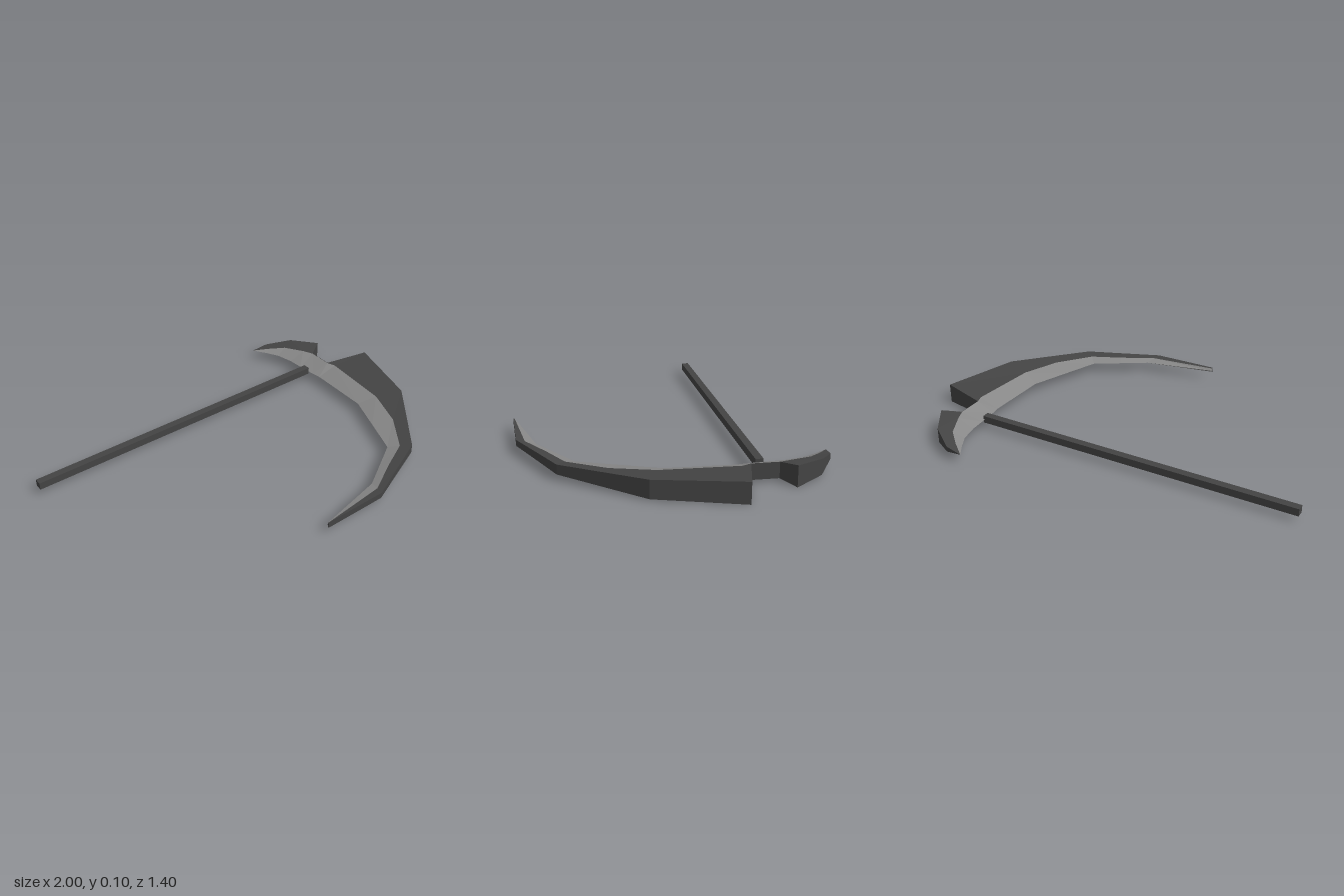
import * as THREE from 'three';

const Y = 0.053; // height of the blade's middle plane

// Cross-sections along the head: inner edge x,z / bevel line x,z / outer back x,z / half height at bevel, at back
const SECTIONS = [
  [-0.10, 0.69, -0.10, 0.69, -0.10, 0.69, 0, 0],
  [-0.09, 0.68, -0.095, 0.69, -0.10, 0.697, 0.01, 0.013],
  [0.26, 0.60, 0.247, 0.65, 0.235, 0.69, 0.011, 0.015],
  [0.39, 0.52, 0.408, 0.56, 0.42, 0.607, 0.014, 0.019],
  [0.52, 0.44, 0.56, 0.485, 0.605, 0.525, 0.017, 0.023],
  [0.593, 0.255, 0.685, 0.31, 0.748, 0.345, 0.024, 0.033],
  [0.665, 0.07, 0.757, 0.11, 0.89, 0.165, 0.03, 0.043],
  [0.675, -0.256, 0.783, -0.25, 0.997, -0.235, 0.036, 0.05],
  [0.668, -0.30, 0.767, -0.294, 0.768, -0.294, 0.037, 0.038],
  [0.66, -0.40, 0.767, -0.422, 0.768, -0.422, 0.037, 0.038],
  [0.655, -0.48, 0.745, -0.478, 0.853, -0.476, 0.035, 0.05],
  [0.635, -0.57, 0.695, -0.585, 0.762, -0.615, 0.025, 0.038],
  [0.60, -0.635, 0.625, -0.65, 0.644, -0.695, 0.012, 0.014],
  [0.555, -0.705, 0.555, -0.705, 0.555, -0.705, 0, 0],
];

// Ring of points around one cross-section
function ring([ix, iz, mx, mz, ox, oz, hm, ho]) {
  return [
    [ix, Y, iz], [mx, Y + hm, mz], [ox, Y + ho, oz],
    [ox, Y - ho, oz], [mx, Y - hm, mz],
  ];
}

// Loft only the chosen sides of the rings, with flat faces
function loftSides(sides) {
  const rings = SECTIONS.map(ring);
  const pos = [];
  for (let i = 0; i < rings.length - 1; i++) {
    for (const j of sides) {
      const k = (j + 1) % 5;
      const a = rings[i][j], b = rings[i][k], c = rings[i + 1][k], d = rings[i + 1][j];
      pos.push(...a, ...b, ...c, ...a, ...c, ...d);
    }
  }
  const g = new THREE.BufferGeometry();
  g.setAttribute('position', new THREE.Float32BufferAttribute(pos, 3));
  g.computeVertexNormals();
  return g;
}

export function createModel() {
  const darkIron = new THREE.MeshStandardMaterial({ color: 0x444444 });
  darkIron.name = 'darkIron';
  const paleEdge = new THREE.MeshStandardMaterial({ color: 0x888888 });
  paleEdge.name = 'paleEdge';

  const model = new THREE.Group();
  model.name = 'scythe';
  const add = (name, geometry, material) => {
    const mesh = new THREE.Mesh(geometry, material);
    mesh.name = name;
    model.add(mesh);
    return mesh;
  };

  // Square shaft
  add('handle', new THREE.BoxGeometry(1.67, 0.037, 0.037), darkIron).position.set(-0.165, Y, -0.359);

  // Curved head: thick back and sharpened inner bevel
  add('bladeBack', loftSides([1, 2, 3]), darkIron);
  add('bladeEdge', loftSides([0, 4]), paleEdge);

  return model;
}
